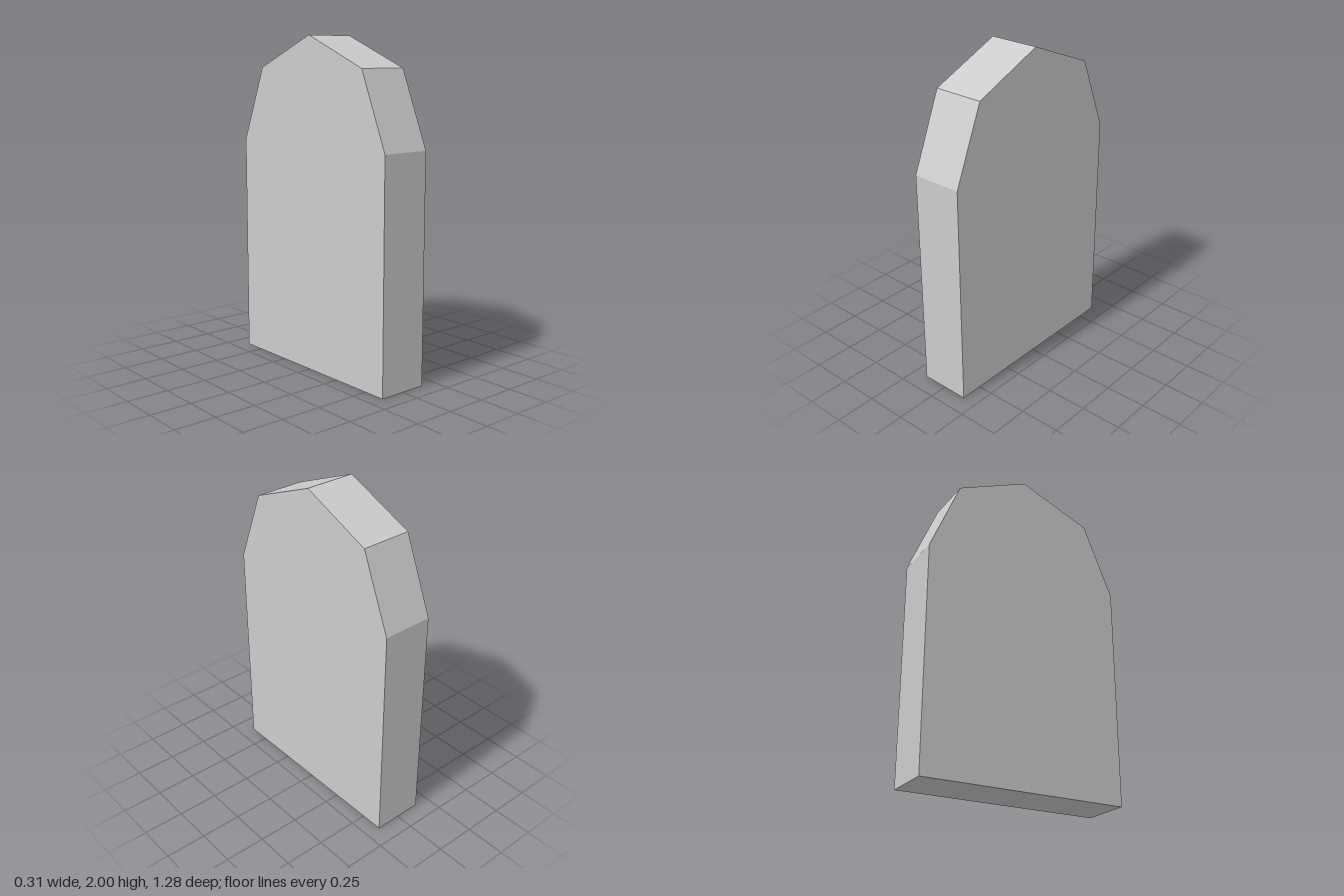
import * as THREE from 'three';

const RADIUS = 0.638; // half the slab's width and radius of its arched top
const HEIGHT = 2;
const THICKNESS = 0.314;
const ARCH_SEGMENTS = 4;

export function createModel() {
  const group = new THREE.Group();
  group.name = 'headstone';

  // Upright slab outline: straight sides under a faceted half-round top
  const outline = new THREE.Shape();
  outline.moveTo(-RADIUS, 0);
  outline.lineTo(RADIUS, 0);
  for (let i = 0; i <= ARCH_SEGMENTS; i++) {
    const a = (i / ARCH_SEGMENTS) * Math.PI;
    outline.lineTo(RADIUS * Math.cos(a), HEIGHT - RADIUS + RADIUS * Math.sin(a));
  }
  outline.closePath();

  // Extrude the thickness, centre it and turn it to run along x
  const geometry = new THREE.ExtrudeGeometry(outline, { depth: THICKNESS, bevelEnabled: false });
  geometry.translate(0, 0, -THICKNESS / 2);
  geometry.rotateY(Math.PI / 2);

  const slab = new THREE.Mesh(
    geometry,
    new THREE.MeshStandardMaterial({ color: 0xcccccc, flatShading: true })
  );
  slab.name = 'archedSlab';
  group.add(slab);
  return group;
}
